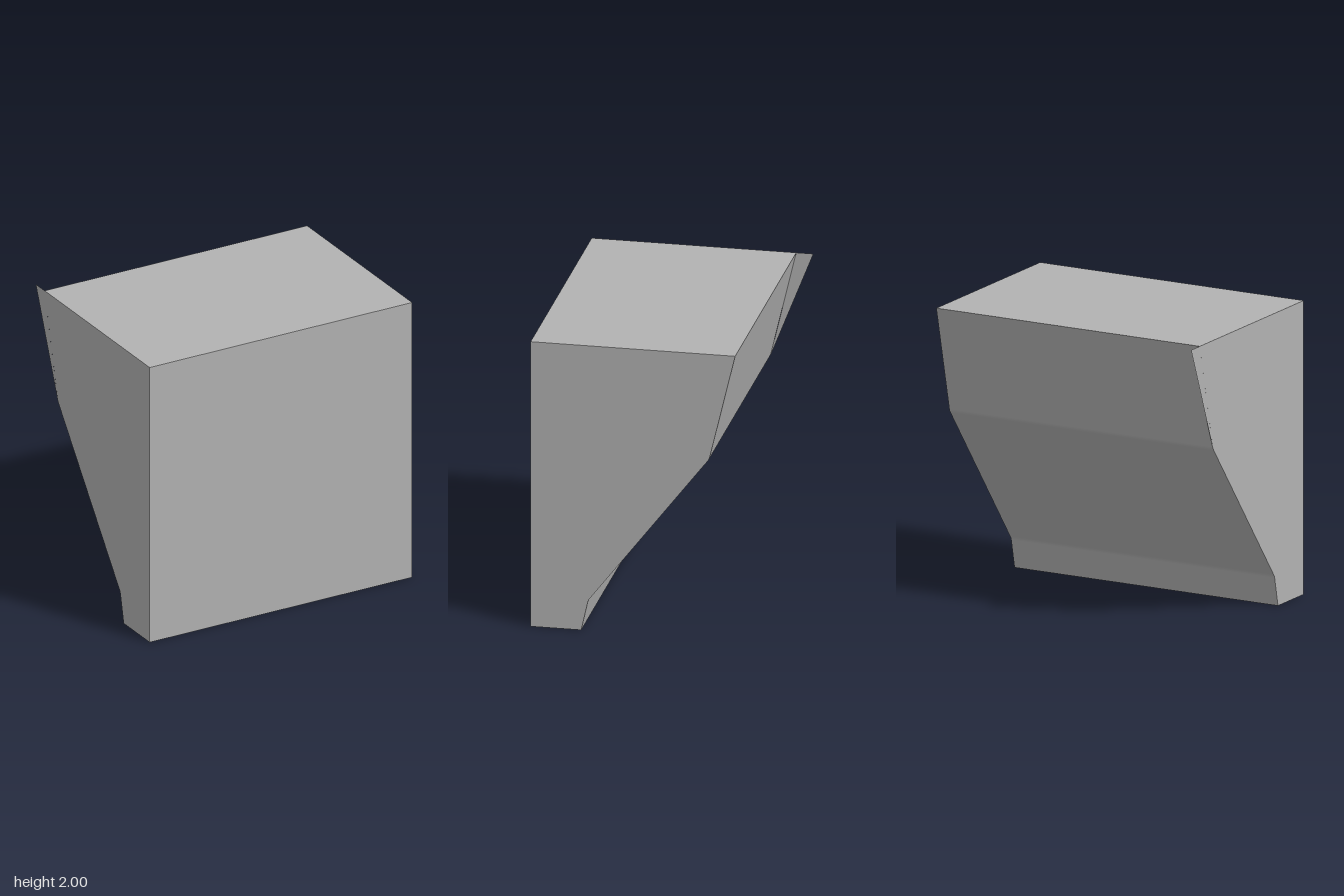
import * as THREE from 'three';

export function createModel() {
  const model = new THREE.Group();
  const grey = new THREE.MeshStandardMaterial({ color: 0xb2b2b2, side: THREE.DoubleSide });
  grey.name = 'grey';

  // Side profile drawn as (-z, y), turned so that it spans the width in x
  const place = (geometry, name) => {
    geometry.rotateY(Math.PI / 2).translate(-1, 0, 0);
    const mesh = new THREE.Mesh(geometry, grey);
    mesh.name = name;
    model.add(mesh);
  };

  // Solid body: flat front, stepped slope at the back with softened bends
  const profile = new THREE.Shape();
  profile.moveTo(-0.745, 0);
  profile.lineTo(-0.405, 0);
  profile.lineTo(-0.362, 0.195);
  profile.quadraticCurveTo(-0.359, 0.21, -0.349, 0.223);
  profile.lineTo(0.446, 1.251);
  profile.quadraticCurveTo(0.456, 1.264, 0.459, 1.279);
  profile.lineTo(0.63, 2);
  profile.lineTo(-0.745, 2);
  profile.closePath();
  place(new THREE.ExtrudeGeometry(profile, { depth: 2, bevelEnabled: false, curveSegments: 5 }), 'body');

  // Thin flap continuing the right side past the back panel
  const flap = new THREE.Shape([
    new THREE.Vector2(0.456, 1.264),
    new THREE.Vector2(0.745, 2),
    new THREE.Vector2(0.63, 2),
  ]);
  place(new THREE.ShapeGeometry(flap), 'sideFlap');

  return model;
}
